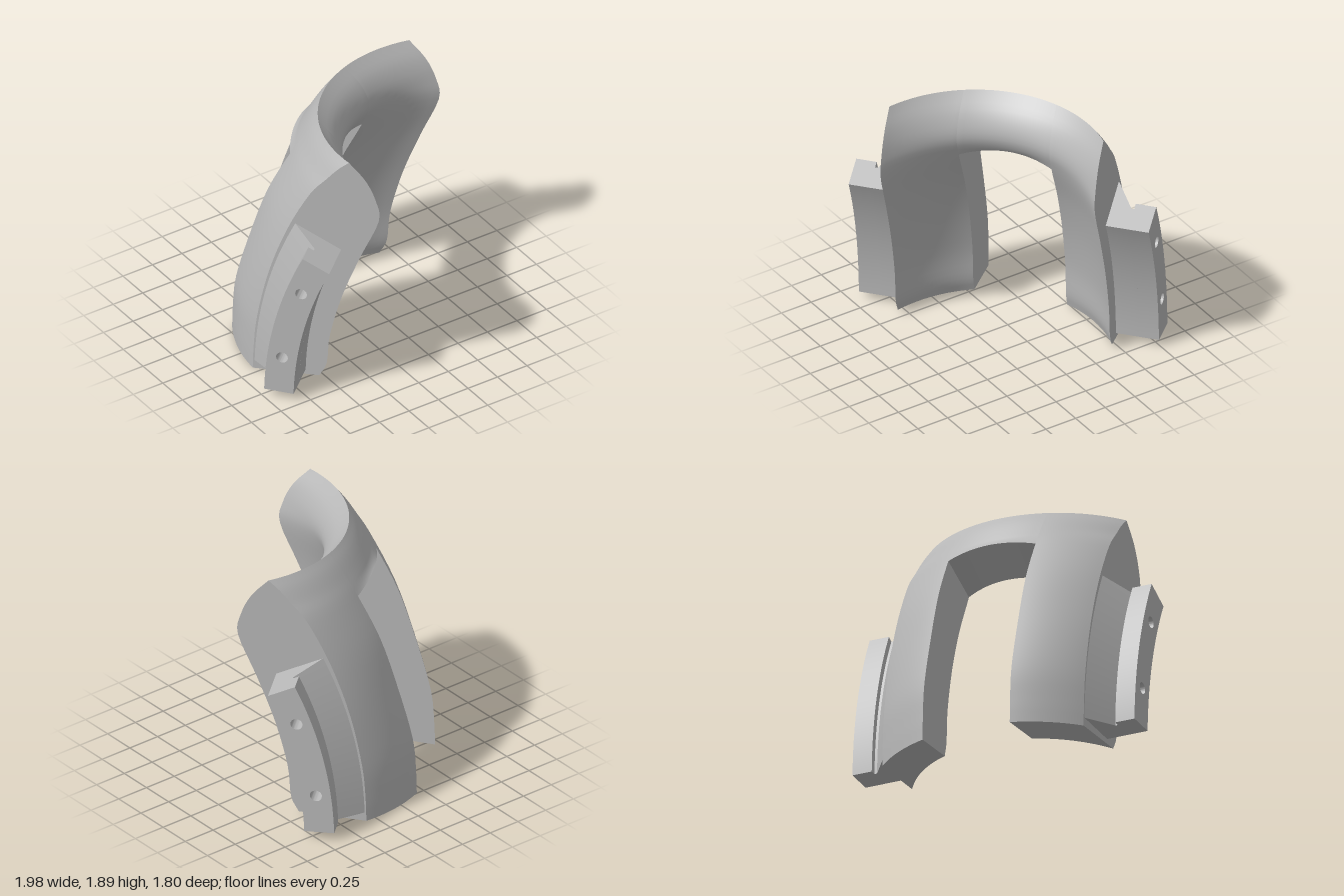
import * as THREE from 'three';
import { toCreasedNormals } from 'three/addons/utils/BufferGeometryUtils.js';

const HALF = 0.785;   // half width of the body
const SLOT = 0.34;    // half width of the slot
const SPAN = 4;       // rows per profile span
const SLOT_ROW = 5 * SPAN;

// Profiles from bottom to top: height, depth at the middle, depth at the sides
const inner = [[0.03, -0.40, 0.07], [0.15, -0.375, 0.125], [0.4, -0.36, 0.15], [0.75, -0.288, 0.24],
  [1.1, -0.17, 0.37], [1.43, -0.012, 0.505], [1.6, 0.055, 0.485], [1.76, 0.0, 0.41], [1.895, -0.125, 0.288]];
const outer = [[0.005, -0.745, -0.415], [0.18, -0.74, -0.41], [0.45, -0.715, -0.385], [0.85, -0.605, -0.30],
  [1.24, -0.48, -0.165], [1.57, -0.32, 0.0], [1.72, -0.24, 0.12], [1.82, -0.18, 0.205], [1.895, -0.125, 0.288]];

const smooth = (rows) => new THREE.CatmullRomCurve3(rows.map((r) => new THREE.Vector3(...r)))
  .getPoints;
const sample = (rows) => {
  const curve = new THREE.CatmullRomCurve3(rows.map((r) => new THREE.Vector3(...r)), false, 'catmullrom', 0.5);
  return curve.getPoints((rows.length - 1) * SPAN);
};
const innerRows = sample(inner), outerRows = sample(outer);

// Skin closed loops of equal length; the caps are strips joining opposite points
function loft(sections, startRows, endRows) {
  const pos = [];
  const tri = (a, b, c) => pos.push(...a, ...b, ...c);
  const quad = (a, b, c, d) => { tri(a, b, c); tri(a, c, d); };
  const n = sections[0].length;
  for (let k = 0; k < sections.length - 1; k++) {
    for (let i = 0; i < n; i++) {
      const j = (i + 1) % n;
      quad(sections[k][i], sections[k + 1][i], sections[k + 1][j], sections[k][j]);
    }
  }
  const first = sections[0], last = sections[sections.length - 1];
  for (let i = 0; i < startRows; i++) quad(first[i], first[i + 1], first[n - 2 - i], first[n - 1 - i]);
  for (let i = 0; i < endRows; i++) quad(last[i], last[n - 1 - i], last[n - 2 - i], last[i + 1]);
  const geo = new THREE.BufferGeometry();
  geo.setAttribute('position', new THREE.Float32BufferAttribute(pos, 3));
  return toCreasedNormals(geo, 0.6);
}

// Loop of the body at sideways position u, from the given row up to the top edge
function bodySection(u, fromRow) {
  const top = innerRows.length - 1;
  const point = (p, row, radius) => {
    const r = THREE.MathUtils.lerp(radius, 0.97, row / top);
    const bow = (r - Math.sqrt(r * r - u * u)) / (r - Math.sqrt(r * r - HALF * HALF));
    const arch = row === SLOT_ROW ? 0.035 * Math.max(0, 1 - (u / SLOT) ** 2) : 0;
    return [u, p.x + arch, p.y + (p.z - p.y) * bow];
  };
  const a = [], b = [];
  for (let row = fromRow; row <= top; row++) {
    a.push(point(innerRows[row], row, 0.94));
    b.unshift(point(outerRows[row], row, 1.08));
  }
  return [...a, ...b];
}
function bodyPiece(u0, u1, fromRow, startRows, endRows) {
  const sections = [], steps = 16;
  for (let i = 0; i <= steps; i++) sections.push(bodySection(u0 + (u1 - u0) * i / steps, fromRow));
  return loft(sections, startRows, endRows);
}

// The brackets follow arcs around one centre far in front
const CENTRE = 2.59, FRONT = 2.62, BACK = 2.835, START = 0.024, END = 0.45;

// Web with a sloping gusset between the body and the flange
function webGeometry(side) {
  const loop = [[0.78, FRONT], [0.93, FRONT], [0.955, FRONT], [0.955, 2.79], [0.93, 2.79], [0.78, 3.0]];
  const sections = [];
  for (let i = 0; i <= 20; i++) {
    const t = END + (START - END) * i / 20;
    sections.push(loop.map(([u, r]) => [side * u, r * Math.sin(t), CENTRE - r * Math.cos(t)]));
  }
  if (side < 0) sections.reverse();
  return loft(sections, 2, 2);
}

// Curved flange with two screw holes
function flangeGeometry(side) {
  const shape = new THREE.Shape();
  const at = (r, t) => [r * Math.cos(t) - CENTRE, r * Math.sin(t)];
  shape.moveTo(...at(FRONT, START));
  shape.lineTo(...at(BACK, START));
  shape.absarc(-CENTRE, 0, BACK, START, END, false);
  shape.lineTo(...at(FRONT, END));
  shape.absarc(-CENTRE, 0, FRONT, END, START, true);
  for (const y of [0.36, 0.93]) {
    const mid = (FRONT + BACK) / 2;
    const hole = new THREE.Path();
    hole.absarc(...at(mid, Math.asin(y / mid)), 0.043, 0, Math.PI * 2, true);
    shape.holes.push(hole);
  }
  const geo = new THREE.ExtrudeGeometry(shape, { depth: 0.15, bevelEnabled: false, curveSegments: 20 });
  geo.rotateY(Math.PI / 2);
  geo.translate(side > 0 ? 0.95 : -1.1, 0, 0);
  return toCreasedNormals(geo, 0.6);
}

export function createModel() {
  const model = new THREE.Group();
  model.name = 'slottedBracket';
  const grey = new THREE.MeshStandardMaterial({ color: 0xb8b8b8 });
  grey.name = 'plain grey';
  const add = (name, geo) => {
    const mesh = new THREE.Mesh(geo, grey);
    mesh.name = name;
    model.add(mesh);
  };

  // Curved body: two legs joined by a bridge above the slot
  const full = innerRows.length - 1;
  add('rightLeg', bodyPiece(-HALF, -SLOT, 0, full, SLOT_ROW));
  add('bridge', bodyPiece(-SLOT, SLOT, SLOT_ROW, 0, 0));
  add('leftLeg', bodyPiece(SLOT, HALF, 0, SLOT_ROW, full));

  // Mounting brackets on both sides
  for (const side of [-1, 1]) {
    const label = side > 0 ? 'left' : 'right';
    add(label + 'Web', webGeometry(side));
    add(label + 'Flange', flangeGeometry(side));
  }

  // The whole part is turned about the vertical
  model.rotation.y = 0.707;
  return model;
}
